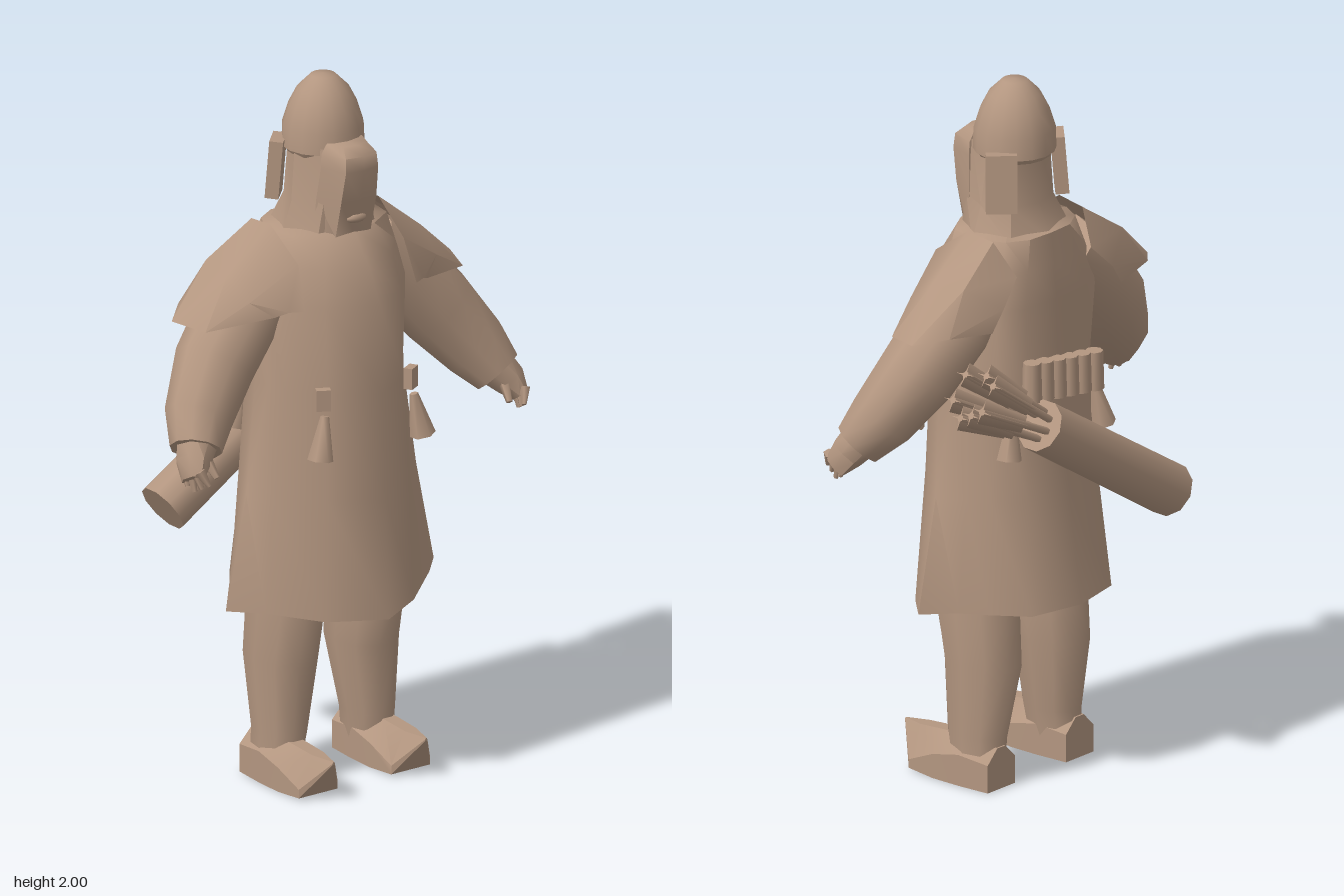
import * as THREE from 'three';
import { toCreasedNormals } from 'three/addons/utils/BufferGeometryUtils.js';

const V = (x, y, z) => new THREE.Vector3(x, y, z);
const clay = new THREE.MeshStandardMaterial({ color: 0xb39680, side: THREE.DoubleSide });
clay.name = 'clay brown';

function add(parent, name, geo, x = 0, y = 0, z = 0) {
  const m = new THREE.Mesh(geo, clay);
  m.name = name;
  m.position.set(x, y, z);
  parent.add(m);
  return m;
}

// Skins a surface over rows of points; closed rows form tubes, caps are fans.
function skin(rows, closed = true, capA = null, capB = null, crease = 0.7) {
  const pos = [], n = rows[0].length;
  const tri = (...p) => p.forEach(v => pos.push(v.x, v.y, v.z));
  const last = closed ? n : n - 1;
  for (let i = 0; i < rows.length - 1; i++) {
    for (let j = 0; j < last; j++) {
      const k = (j + 1) % n;
      const [a, b, c, d] = [rows[i][j], rows[i][k], rows[i + 1][k], rows[i + 1][j]];
      tri(a, b, c);
      tri(a, c, d);
    }
  }
  const end = rows[rows.length - 1];
  for (let j = 0; j < n; j++) {
    const k = (j + 1) % n;
    if (capA) tri(capA, rows[0][k], rows[0][j]);
    if (capB) tri(capB, end[j], end[k]);
  }
  const g = new THREE.BufferGeometry();
  g.setAttribute('position', new THREE.Float32BufferAttribute(pos, 3));
  g.computeVertexNormals();
  return toCreasedNormals(g, crease);
}

// Limb along stations [x, y, z, radiusAcross, radiusDeep].
function limb(stations, n = 10) {
  const c = stations.map(s => V(s[0], s[1], s[2]));
  const rows = stations.map((s, i) => {
    const t = c[Math.min(i + 1, c.length - 1)].clone().sub(c[Math.max(i - 1, 0)]).normalize();
    const u = t.clone().cross(V(0, 0, 1)).normalize();
    const w = t.clone().cross(u);
    return Array.from({ length: n }, (_, j) => {
      const a = j / n * Math.PI * 2;
      return c[i].clone().addScaledVector(u, Math.cos(a) * s[3]).addScaledVector(w, Math.sin(a) * s[4]);
    });
  });
  return skin(rows, true, c[0], c[c.length - 1], 0.9);
}

// Closed ring from half of a cross-section, running front to back: [x, z].
function ring(y, half) {
  const left = half.map(([x, z]) => V(x, y, z));
  const right = half.slice(1, -1).reverse().map(([x, z]) => V(-x, y, z));
  return [...left, ...right].reverse();
}

function rod(parent, name, a, b, r0, r1, sides) {
  const m = add(parent, name, new THREE.CylinderGeometry(r1, r0, a.distanceTo(b), sides));
  m.position.copy(a).lerp(b, 0.5);
  m.quaternion.setFromUnitVectors(V(0, 1, 0), b.clone().sub(a).normalize());
  return m;
}

function buildCoat(g) {
  const rows = [
    ring(0.53, [[0, .31], [.15, .225], [.28, .125], [.355, .045], [.275, -.03], [.23, -.1], [.16, -.195], [0, -.23]]),
    ring(0.85, [[0, .295], [.14, .215], [.245, .11], [.285, .045], [.245, -.03], [.21, -.09], [.14, -.165], [0, -.185]]),
    ring(1.15, [[0, .283], [.13, .207], [.2, .11], [.21, .045], [.205, -.02], [.185, -.09], [.12, -.14], [0, -.15]]),
    ring(1.4, [[0, .272], [.13, .195], [.225, .09], [.225, .04], [.22, -.02], [.2, -.1], [.12, -.135], [0, -.14]]),
    ring(1.5, [[0, .22], [.115, .175], [.19, .09], [.195, .035], [.19, -.02], [.17, -.09], [.1, -.125], [0, -.13]]),
    ring(1.585, [[0, .155], [.08, .14], [.16, .09], [.17, .03], [.17, -.02], [.14, -.08], [.08, -.115], [0, -.12]]),
  ];
  // The hem dips at the front
  for (const p of rows[0]) if (p.z > 0.2) p.y = 0.505;
  add(g, 'coat', skin(rows, true, V(0, 0.58, 0), V(0, 1.61, 0.02), 1.2));
}

function buildHead(g) {
  const dome = [[.114, 1.8], [.112, 1.86], [.095, 1.915], [.072, 1.96], [.035, 1.997], [0, 2]];
  add(g, 'helmet', toCreasedNormals(new THREE.LatheGeometry(dome.map(p => new THREE.Vector2(...p)), 16), 1), 0, 0, 0.015);
  add(g, 'helmetUnderside', new THREE.CylinderGeometry(0.112, 0.1, 0.02, 16), 0, 1.795, 0.015);
  add(g, 'neckCurtain', skin([
    ring(1.565, [[0, .15], [.1, .12], [.155, .03], [.12, -.08], [0, -.12]]),
    ring(1.66, [[0, .15], [.08, .12], [.12, .03], [.085, -.05], [0, -.075]]),
    ring(1.82, [[0, .13], [.07, .11], [.1, .02], [.07, -.05], [0, -.075]]),
  ]));
  add(g, 'faceGuard', skin([
    ring(1.575, [[0, .155], [.06, .15], [.1, .1], [0, .08]]),
    ring(1.68, [[0, .185], [.06, .175], [.088, .1], [0, .08]]),
    ring(1.77, [[0, .2], [.055, .19], [.08, .11], [0, .08]]),
    ring(1.81, [[0, .198], [.052, .186], [.078, .11], [0, .08]]),
    ring(1.835, [[0, .17], [.04, .158], [.06, .11], [0, .08]]),
  ], true, V(0, 1.575, .1), V(0, 1.835, .11), 1));
  const mouth = add(g, 'mouth', new THREE.SphereGeometry(0.035, 8, 5), 0, 1.625, 0.165);
  mouth.scale.set(1, 0.4, 0.4);
}

// Everything that exists once per side, built for +x.
function buildSide(g) {
  add(g, 'leg', limb([
    [.135, .62, .02, .09, .13], [.137, .5, .025, .093, .135], [.138, .35, .005, .092, .122],
    [.15, .14, .015, .066, .095], [.157, .03, .005, .06, .085],
  ]));

  // Shoe with upturned pointed toe: [z, half width, bottom, shoulder, top]
  const shoe = [[-.08, .055, .0, .08, .12], [.02, .066, 0, .09, .13], [.11, .07, 0, .07, .128], [.2, .066, .005, .03, .12], [.27, .004, .108, .112, .116]];
  add(g, 'shoe', skin(shoe.map(([z, w, b, s, t]) => [
    V(.158 - w, b, z), V(.158 + w, b, z), V(.158 + w, s, z), V(.158 + w * .3, t, z), V(.158 - w * .3, t, z), V(.158 - w, s, z),
  ]), true, V(.158, .06, -.08), V(.158, .112, .27), 0.5));

  add(g, 'sleeve', limb([
    [.16, 1.48, -.01, .09, .1], [.275, 1.365, 0, .115, .12], [.38, 1.245, .025, .115, .11],
    [.472, 1.125, .075, .098, .092], [.515, 1.055, .12, .075, .07],
  ]));
  add(g, 'hand', limb([[.5, 1.08, .11, .06, .06], [.54, 1.03, .14, .048, .052], [.558, .99, .165, .024, .04]], 7));
  for (let i = 0; i < 4; i++) {
    const z = .125 + i * .022;
    rod(g, 'finger', V(.555, 1.02, z), V(.562 - i * .008, .955 + Math.abs(i - 1) * .012, z + .02), .016, .007, 5);
  }
  rod(g, 'thumb', V(.51, 1.04, .155), V(.5, .99, .195), .018, .009, 5);

  // Shoulder cape, rows from collar to outer edge, each from back to front
  add(g, 'shoulderCape', skin([
    [V(.15, 1.5, -.13), V(.18, 1.595, -.07), V(.185, 1.605, .02), V(.18, 1.52, .14), V(.19, 1.4, .185)],
    [V(.22, 1.43, -.145), V(.32, 1.5, -.09), V(.33, 1.49, .02), V(.32, 1.43, .105), V(.23, 1.4, .165)],
    [V(.26, 1.37, -.14), V(.4, 1.385, -.11), V(.475, 1.37, -.04), V(.44, 1.36, .065), V(.26, 1.385, .14)],
  ], false));

  const flap = add(g, 'helmetFlap', new THREE.BoxGeometry(.038, .165, .085), .117, 1.742, -.043);
  flap.rotation.set(0, Math.PI / 4, 0.08);

  // Belt clasps with hanging tassels, front and back
  for (const [z, x, turn] of [[.212, .15, .5], [-.118, .165, -.4]]) {
    add(g, 'clasp', new THREE.BoxGeometry(.04, .06, .025), x, 1.145, z).rotation.y = turn;
    const out = Math.sign(z) * .02;
    rod(g, 'tassel', V(x + .025, .98, z + out), V(x + .002, 1.1, z + out * .5), .036, .012, 6);
  }
}

function buildBackGear(g) {
  // Row of small pouches, packed side by side
  for (let i = 0; i < 6; i++) {
    const x = -.125 + i * .05;
    add(g, 'pouch', new THREE.CylinderGeometry(.025, .028, .11, 8), x, 1.18 + x * .14, -.163);
  }

  // Slanted quiver with a spread of arrows
  const foot = V(-.37, .755, -.218), mouth = V(.155, 1.093, -.218);
  rod(g, 'quiver', foot, mouth, .076, .074, 10);
  for (let i = 0; i < 7; i++) {
    const a = i / 7 * Math.PI * 2, r = i % 2 ? 1 : .65;
    const off = V(-.55 * Math.cos(a), .83 * Math.cos(a), .8 * Math.sin(a));
    const start = mouth.clone().addScaledVector(off, .04);
    const tip = V(.395 + .025 * (i % 3), 1.25, -.213).addScaledVector(off, .085 * r);
    rod(g, 'arrowShaft', start, tip, .011, .011, 5);
    const mid = start.clone().lerp(tip, .35);
    for (let k = 0; k < 2; k++) {
      const vane = rod(g, 'fletching', mid, tip, .024, .034, 4);
      vane.scale.set(k ? 1 : .1, 1, k ? .1 : 1);
    }
  }
}

export function createModel() {
  const model = new THREE.Group();
  model.name = 'archer';
  buildCoat(model);
  buildHead(model);
  for (const s of [1, -1]) {
    const side = new THREE.Group();
    side.name = s > 0 ? 'leftSide' : 'rightSide';
    buildSide(side);
    side.scale.x = s;
    model.add(side);
  }
  buildBackGear(model);
  return model;
}
